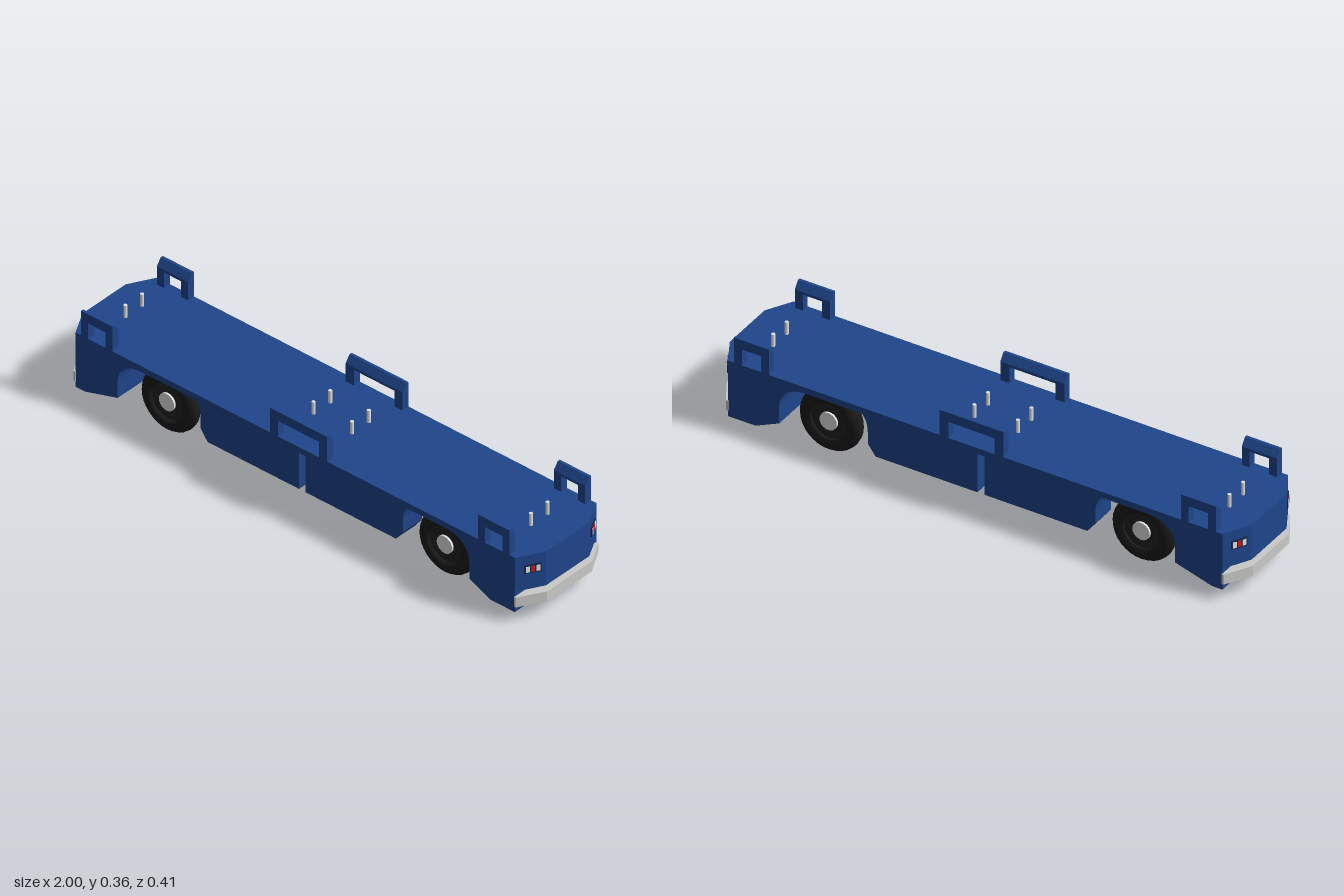
import * as THREE from 'three';

const mat = (name, color) => {
  const m = new THREE.MeshStandardMaterial({ color });
  m.name = name;
  return m;
};

export function createModel() {
  const blue = mat('bodyBlue', 0x1f458c);
  const navy = mat('lampFrameNavy', 0x14284f);
  const steel = mat('bumperGrey', 0xcacac8);
  const bright = mat('brightMetal', 0xe2e2e2);
  const rubber = mat('tyreBlack', 0x1a1a1a);
  const rimDark = mat('rimCharcoal', 0x202020);
  const white = mat('lampWhite', 0xf2f2f2);
  const red = mat('lampRed', 0xd81818);

  const root = new THREE.Group();
  root.name = 'flatbedTransporter';
  const add = (geo, material, name, parent = root) => {
    const m = new THREE.Mesh(geo, material);
    m.name = name;
    parent.add(m);
    return m;
  };
  const shapeOf = pts => new THREE.Shape(pts.map(p => new THREE.Vector2(...p)));
  const extrude = (shape, depth) =>
    new THREE.ExtrudeGeometry(shape, { depth, bevelEnabled: false, curveSegments: 10 });
  // Side outline (x, y) extruded from z0 to z1
  const sidePrism = (shape, z0, z1) => extrude(shape, z1 - z0).translate(0, 0, z0);
  // Plan outline (x, z) extruded from y0 to y1
  const planPrism = (pts, y0, y1) =>
    extrude(shapeOf(pts.map(([x, z]) => [x, -z])), y1 - y0).rotateX(-Math.PI / 2).translate(0, y0, 0);
  // Cross-section (z, y) extruded from x0 to x1
  const crossPrism = (pts, x0, x1) =>
    extrude(shapeOf(pts.map(([z, y]) => [-z, y])), x1 - x0).rotateY(Math.PI / 2).translate(x0, 0, 0);

  // Deck
  const deckY = 0.26, under = 0.237, endX = 0.94;
  add(new THREE.BoxGeometry(endX * 2, deckY - under, 0.4).translate(0, (deckY + under) / 2, 0), blue, 'deck');

  // End bodies with rounded wheel arch edges; s is the end, flat is where the level bottom stops
  for (const [s, flat, arch] of [[-1, 0.9, 0.76], [1, 0.835, 0.745]]) {
    const e = new THREE.Shape();
    e.moveTo(s * endX, under);
    e.lineTo(s * endX, 0.044);
    e.lineTo(s * flat, 0.044);
    e.lineTo(s * arch, 0.085);
    e.lineTo(s * arch, 0.145);
    e.quadraticCurveTo(s * arch, under - 0.005, s * (arch - 0.1), under);
    add(sidePrism(e, -0.2, 0.2), blue, 'endBody');

    // Nose with angled corners
    add(planPrism([[s * endX, 0.2], [s * 0.992, 0.107], [s * 0.992, -0.105], [s * endX, -0.2]],
      0.125, deckY), blue, 'nose');
    // Bumper
    add(planPrism([[s * 0.938, 0.203], [s * 0.946, 0.203], [s, 0.11], [s, -0.11],
      [s * 0.946, -0.203], [s * 0.938, -0.203]], 0.067, 0.106), steel, 'bumper');

    // Lamp clusters on the angled corners
    for (const t of [-1, 1]) {
      const lamp = new THREE.Group();
      lamp.name = 'lampCluster';
      lamp.position.set(s * 0.97, 0.206, t * 0.147);
      lamp.rotation.y = Math.atan2(s * 0.093, t * 0.052);
      root.add(lamp);
      add(new THREE.BoxGeometry(0.058, 0.033, 0.008), navy, 'lampFrame', lamp);
      [white, red, white].forEach((m, i) =>
        add(new THREE.BoxGeometry(0.013, 0.022, 0.004).translate((i - 1) * 0.018, 0, 0.004), m, 'lamp', lamp));
    }
  }

  // Side boxes between the wheels, set in under the deck and split by a gap in the middle
  for (const [s, inner, outer] of [[-1, 0.014, 0.435], [1, 0.013, 0.43]]) {
    const b = new THREE.Shape();
    b.moveTo(s * inner, under);
    b.lineTo(s * inner, 0.06);
    b.lineTo(s * (outer - 0.03), 0.06);
    b.lineTo(s * outer, 0.1);
    b.lineTo(s * outer, 0.145);
    b.quadraticCurveTo(s * outer, under - 0.005, s * (outer + 0.1), under);
    add(sidePrism(b, 0.07, 0.165), blue, 'sideBox');
    add(sidePrism(b, -0.165, -0.07), blue, 'sideBox');
  }

  // Guard rails: two posts and a bar, bevelled on the inside
  for (const t of [-1, 1]) {
    const section = y0 => [[0.2, y0], [0.171, y0], [0.171, 0.332], [0.19, 0.358], [0.2, 0.358]]
      .map(([z, y]) => [t * z, y]);
    for (const [x0, x1, w] of [[-0.916, -0.782, 0.03], [-0.108, 0.136, 0.035], [0.783, 0.917, 0.03]]) {
      const rail = new THREE.Group();
      rail.name = 'guardRail';
      root.add(rail);
      add(crossPrism(section(deckY), x0, x0 + w), blue, 'railPost', rail);
      add(crossPrism(section(deckY), x1 - w, x1), blue, 'railPost', rail);
      add(crossPrism(section(0.322), x0 + w, x1 - w), blue, 'railBar', rail);
    }
  }

  // Locating pins on the deck
  for (const x of [-0.875, -0.07, 0.095, 0.86])
    for (const z of [-0.052, 0.03])
      add(new THREE.CylinderGeometry(0.0068, 0.0068, 0.05, 12).translate(x, 0.283, z), bright, 'deckPin');

  // Wheels and axles
  const tyreProfile = [[0.068, -0.022], [0.08, -0.028], [0.095, -0.0275], [0.108, -0.021], [0.115, -0.011],
    [0.117, 0], [0.115, 0.011], [0.108, 0.021], [0.095, 0.0275], [0.08, 0.028], [0.068, 0.022], [0.066, 0],
    [0.068, -0.022]].map(p => new THREE.Vector2(...p));
  const tyreGeo = new THREE.LatheGeometry(tyreProfile, 32).rotateX(Math.PI / 2);
  const disc = (r, d, n) => new THREE.CylinderGeometry(r, r, d, n).rotateX(Math.PI / 2);
  for (const x of [-0.597, 0.592]) {
    add(disc(0.03, 0.2, 20).translate(x, 0.117, 0), bright, 'axle');
    for (const t of [-1, 1]) {
      const wheel = new THREE.Group();
      wheel.name = 'wheel';
      wheel.position.set(x, 0.117, t * 0.124);
      root.add(wheel);
      add(tyreGeo, rubber, 'tyre', wheel);
      add(disc(0.069, 0.03, 32), rimDark, 'rim', wheel);
      add(disc(0.033, 0.046, 20), bright, 'hub', wheel);
      for (let i = 0; i < 10; i++) {
        const a = i * Math.PI / 5;
        add(disc(0.005, 0.036, 6).translate(Math.cos(a) * 0.053, Math.sin(a) * 0.053, 0), rubber, 'wheelBolt', wheel);
      }
    }
  }
  return root;
}
